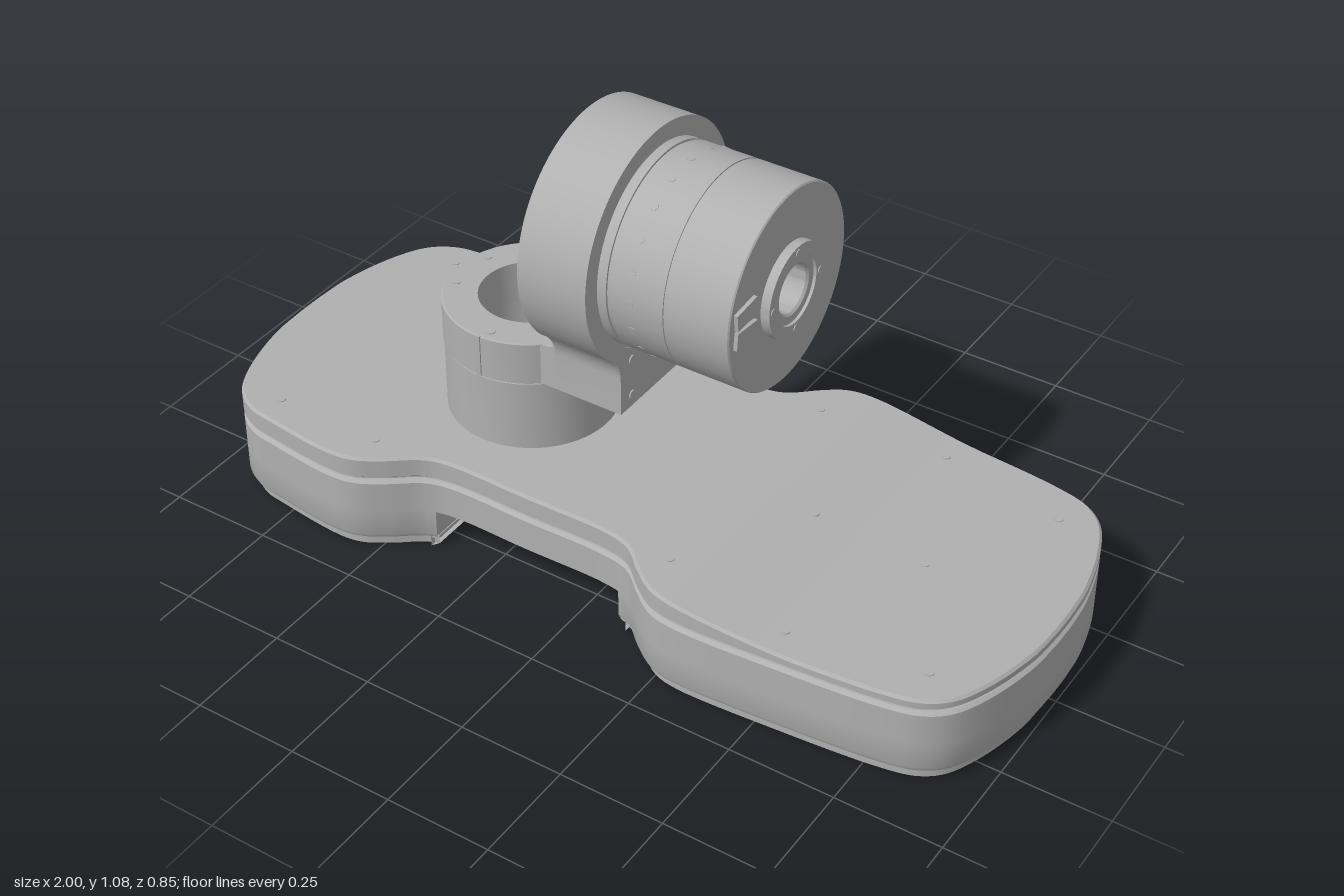
import * as THREE from 'three';
import { toCreasedNormals } from 'three/addons/utils/BufferGeometryUtils.js';

const grey = new THREE.MeshStandardMaterial({ color: 0xb0b0b0 });
grey.name = 'machined grey';

function add(parent, name, geometry) {
  const mesh = new THREE.Mesh(geometry, grey);
  mesh.name = name;
  parent.add(mesh);
  return mesh;
}

// Half outline of the base, from the right end to the left end
const outline = new THREE.CatmullRomCurve3([
  [-1, 0.03], [-0.993, 0.13], [-0.955, 0.27], [-0.91, 0.35], [-0.85, 0.39], [-0.78, 0.403],
  [-0.6, 0.42], [-0.54, 0.41], [-0.48, 0.375], [-0.41, 0.325], [-0.35, 0.31], [-0.15, 0.31],
  [0.07, 0.31], [0.13, 0.325], [0.19, 0.375], [0.24, 0.41], [0.3, 0.425], [0.55, 0.415],
  [0.8, 0.39], [0.87, 0.37], [0.92, 0.33], [0.96, 0.25], [0.993, 0.12], [1, 0.03],
].map(([x, z]) => new THREE.Vector3(x, 0, z))).getPoints(138);

// Mirrored outline between two x limits, stacked in rings of [inset, height]
function slab(x0, x1, rings) {
  const half = outline.filter((p) => p.x >= x0 && p.x <= x1).map((p) => [p.x, p.z]);
  const widthAt = (x) => {
    const i = outline.findIndex((p) => p.x > x);
    const a = outline[i - 1], b = outline[i];
    return a.z + (b.z - a.z) * (x - a.x) / (b.x - a.x);
  };
  if (x0 > -1) half.unshift([x0, widthAt(x0)]);
  if (x1 < 1) half.push([x1, widthAt(x1)]);
  const loop = [...half, ...half.map(([x, z]) => [x, -z]).reverse()];
  const n = loop.length, pos = [], index = [];
  for (const [inset, height] of rings) {
    loop.forEach(([x, z], i) => {
      const a = loop[(i + n - 1) % n], b = loop[(i + 1) % n];
      const dx = b[0] - a[0], dz = b[1] - a[1], l = Math.hypot(dx, dz) || 1;
      pos.push(x + dz / l * inset, typeof height === 'function' ? height(x) : height, z - dx / l * inset);
    });
  }
  for (let r = 0; r < rings.length - 1; r++) {
    for (let i = 0; i < n; i++) {
      const a = r * n + i, b = r * n + (i + 1) % n;
      index.push(a, b, b + n, a, b + n, a + n);
    }
  }
  const top = (rings.length - 1) * n;
  for (let i = 0; i < n / 2 - 1; i++) {
    const a = i, b = i + 1, c = n - 2 - i, d = n - 1 - i;
    index.push(a, c, b, a, d, c);
    index.push(top + a, top + b, top + c, top + a, top + c, top + d);
  }
  const g = new THREE.BufferGeometry();
  g.setAttribute('position', new THREE.Float32BufferAttribute(pos, 3));
  g.setIndex(index);
  return toCreasedNormals(g, 0.5);
}

function lathe(points) {
  return toCreasedNormals(
    new THREE.LatheGeometry(points.map(([r, y]) => new THREE.Vector2(r, y)), 72), 0.5);
}

// Small flush bolt head facing along a normal
function bolt(parent, x, y, z, normal, r = 0.011) {
  const m = add(parent, 'bolt', new THREE.CylinderGeometry(r, r, 0.006, 16));
  m.position.set(x, y, z);
  m.quaternion.setFromUnitVectors(new THREE.Vector3(0, 1, 0), normal);
}

export function createModel() {
  const model = new THREE.Group();
  model.name = 'jointed arm base';
  const up = new THREE.Vector3(0, 1, 0);
  const side = new THREE.Vector3(1, 0, 0);

  // Base: lid with a gentle step, seam, waist, two lobes and their feet
  const base = new THREE.Group();
  base.name = 'base';
  model.add(base);
  const lidTop = (x) => 0.255 - 0.03 * THREE.MathUtils.smoothstep(x, 0.2, 0.62);
  add(base, 'lid', slab(-1, 1, [[0.008, 0.198], [0, 0.205],
    [0, (x) => lidTop(x) - 0.006], [0.006, lidTop]]));
  add(base, 'seam', slab(-1, 1, [[0.013, 0.185], [0.013, 0.2]]));
  add(base, 'waist', slab(-1, 1, [[0, 0.105], [0, 0.184], [0.008, 0.191]]));
  for (const [x0, x1] of [[-1, -0.39], [0.1, 1]]) {
    add(base, 'lobe', slab(x0, x1, [[0.016, 0.024], [0.005, 0.029], [0, 0.04], [0, 0.107]]));
    add(base, 'foot', slab(x0, x1, [[0.018, 0], [0.018, 0.026]]));
  }
  for (const [x, z] of [[-0.81, 0.33], [-0.54, 0.33], [0.23, 0.31], [0.535, 0.345], [0.84, 0.29]]) {
    for (const s of [-1, 1]) bolt(base, x, lidTop(x) - 0.001, s * z, up);
  }
  for (const x of [0.4, 0.67]) bolt(base, x, lidTop(x) - 0.001, 0, up);
  for (const s of [-1, 1]) bolt(base, -0.14, 0.104, s * 0.26, up, 0.015);

  // Column with a bored collar on top
  const column = new THREE.Group();
  column.name = 'column';
  column.position.x = -0.34;
  model.add(column);
  add(column, 'post', lathe([[0, 0.25], [0.197, 0.25], [0.197, 0.43], [0.193, 0.434],
    [0.118, 0.434], [0.118, 0.3], [0, 0.3]]));
  add(column, 'collar', lathe([[0.118, 0.434], [0.199, 0.434], [0.199, 0.537], [0.196, 0.54],
    [0.118, 0.54], [0.118, 0.434]]));
  for (const a of [40, 85, 160, 200, 275, 320].map(THREE.MathUtils.degToRad)) {
    bolt(column, 0.172 * Math.cos(a), 0.539, 0.172 * Math.sin(a), up);
  }
  for (const s of [-1, 1]) {
    add(column, 'collar rib', new THREE.BoxGeometry(0.012, 0.105, 0.008)).position.set(0, 0.487, s * 0.198);
  }

  // Bracket: open ring with a flared neck, joined to the collar
  const bracket = new THREE.Group();
  bracket.name = 'bracket';
  model.add(bracket);
  const a0 = Math.atan2(-0.189, 0.2);
  const shape = new THREE.Shape();
  shape.moveTo(-0.15, 0.435);
  shape.lineTo(0.15, 0.435);
  shape.lineTo(0.15, 0.53);
  shape.quadraticCurveTo(0.152, 0.575, 0.2, 0.611);
  shape.absarc(0, 0.8, 0.275, a0, Math.PI - a0, false);
  shape.quadraticCurveTo(-0.152, 0.575, -0.15, 0.53);
  const hole = new THREE.Path();
  hole.absarc(0, 0.8, 0.237, 0, Math.PI * 2, true);
  shape.holes.push(hole);
  const ring = new THREE.ExtrudeGeometry(shape, { depth: 0.17, bevelEnabled: false, curveSegments: 48 });
  ring.rotateY(Math.PI / 2).translate(-0.17, 0, 0);
  add(bracket, 'bracket ring', toCreasedNormals(ring, 0.5));
  const bridge = new THREE.Shape();
  bridge.moveTo(-0.213, 0.435);
  bridge.lineTo(-0.165, 0.435);
  bridge.lineTo(-0.165, 0.565);
  bridge.quadraticCurveTo(-0.17, 0.54, -0.195, 0.54);
  bridge.lineTo(-0.213, 0.54);
  const bridgeGeometry = new THREE.ExtrudeGeometry(bridge, { depth: 0.3, bevelEnabled: false });
  add(bracket, 'bridge', toCreasedNormals(bridgeGeometry.translate(0, 0, -0.15), 0.5));
  for (const y of [0.465, 0.557]) {
    for (const s of [-1, 1]) bolt(bracket, 0, y, s * 0.108, side);
  }

  // Motor lying along x, with a through bore, grooves and a front boss
  const motor = new THREE.Group();
  motor.name = 'motor';
  motor.position.y = 0.8;
  model.add(motor);
  const housing = lathe([[0.055, -0.1], [0.195, -0.1], [0.195, -0.06], [0.238, -0.06], [0.238, -0.002],
    [0.23, -0.002], [0.23, 0.02], [0.225, 0.02], [0.225, 0.028], [0.23, 0.028], [0.23, 0.158],
    [0.227, 0.158], [0.227, 0.163], [0.23, 0.163], [0.23, 0.312], [0.227, 0.315], [0.108, 0.315],
    [0.108, 0.336], [0.078, 0.336], [0.078, 0.329], [0.06, 0.329], [0.055, 0.324], [0.055, -0.1]]);
  add(motor, 'housing', housing.rotateZ(-Math.PI / 2));
  for (let i = 0; i < 20; i++) {
    const a = i * Math.PI / 10, c = Math.cos(a), s = Math.sin(a);
    bolt(motor, 0.077, 0.228 * c, 0.228 * s, new THREE.Vector3(0, c, s), 0.009);
    if (i % 2) bolt(motor, -0.1, 0.165 * c, 0.165 * s, side);
    if (i % 5 === 0) bolt(motor, 0.335, 0.093 * c, 0.093 * s, side, 0.009);
  }

  // Pair of cable sockets on the motor face
  for (const s of [-1, 1]) {
    const socket = add(motor, 'socket', new THREE.BoxGeometry(0.012, 0.04, 0.075));
    socket.position.set(0.318, 0.012 + s * 0.026, 0.172);
    socket.rotation.x = s * 0.1;
  }
  return model;
}
